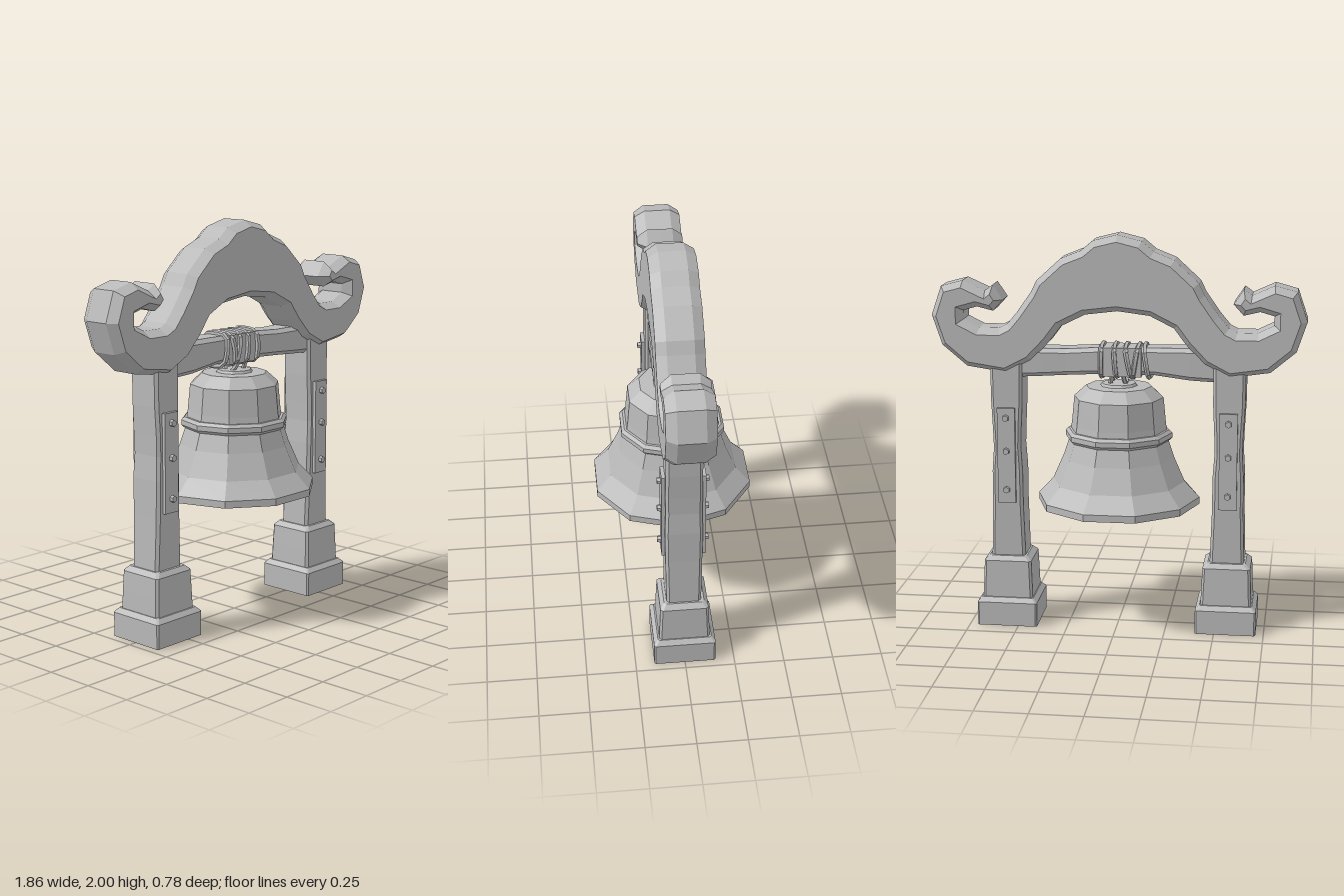
import * as THREE from 'three';

const stone = new THREE.MeshStandardMaterial({ color: 0xbababa, flatShading: true });
stone.name = 'grey';

function add(parent, name, geometry, x = 0, y = 0, z = 0) {
  const mesh = new THREE.Mesh(geometry, stone);
  mesh.name = name;
  mesh.position.set(x, y, z);
  parent.add(mesh);
  return mesh;
}

// Stacked chamfered rectangles along y; each section is [y, halfX, halfZ, shiftX]
function loft(sections, chamfer) {
  const pos = [], index = [], n = 8;
  for (const [y, hx, hz, dx = 0] of sections) {
    const cx = hx - chamfer, cz = hz - chamfer;
    const ring = [[hx, -cz], [hx, cz], [cx, hz], [-cx, hz], [-hx, cz], [-hx, -cz], [-cx, -hz], [cx, -hz]];
    for (const [x, z] of ring) pos.push(x + dx, y, z);
  }
  const top = (sections.length - 1) * n;
  for (let s = 0; s < top; s += n) {
    for (let i = 0; i < n; i++) {
      const a = s + i, b = s + (i + 1) % n;
      index.push(a, a + n, b, b, a + n, b + n);
    }
  }
  for (let i = 1; i < n - 1; i++) index.push(0, i, i + 1, top, top + i + 1, top + i);
  const geometry = new THREE.BufferGeometry();
  geometry.setAttribute('position', new THREE.Float32BufferAttribute(pos, 3));
  geometry.setIndex(index);
  const flat = geometry.toNonIndexed();
  flat.computeVertexNormals();
  return flat;
}

// Lathe with a corner on the x axis
function turned(profile, sides) {
  return new THREE.LatheGeometry(profile.map(([r, y]) => new THREE.Vector2(r, y)), sides, Math.PI / 10);
}

// Arched top with a scroll at each end
function makeArch(group) {
  const half = [
    [0.12, 1.97], [0.18, 1.92], [0.28, 1.88], [0.40, 1.77], [0.43, 1.71], [0.50, 1.61], [0.55, 1.55],
    [0.59, 1.53], [0.69, 1.53], [0.77, 1.57], [0.77, 1.615], [0.70, 1.635], [0.62, 1.615], [0.57, 1.67],
    [0.62, 1.745], [0.66, 1.715], [0.77, 1.765], [0.88, 1.735], [0.93, 1.59], [0.88, 1.44], [0.755, 1.335],
    [0.555, 1.305], [0.43, 1.37], [0.34, 1.465], [0.28, 1.545], [0.16, 1.605]];
  const outline = [[0, 2], ...half, [0, 1.625], ...half.map(([x, y]) => [-x, y]).reverse()];
  const shape = new THREE.Shape(outline.map(([x, y]) => new THREE.Vector2(x, y)));
  const geometry = new THREE.ExtrudeGeometry(shape, {
    depth: 0.13, bevelThickness: 0.05, bevelSize: 0.03, bevelOffset: -0.03, bevelSegments: 1 });
  add(group, 'scrolledArch', geometry, 0, 0, -0.067);
}

// Post, stepped foot and bolted plates
function makeSupport(side) {
  const support = new THREE.Group();
  support.name = side > 0 ? 'leftSupport' : 'rightSupport';
  support.position.x = side * 0.557;
  add(support, 'lowerFoot', loft([
    [0, 0.153, 0.155], [0.122, 0.153, 0.155], [0.145, 0.132, 0.135]], 0.008));
  add(support, 'upperFoot', loft([
    [0.13, 0.128, 0.128], [0.24, 0.124, 0.124], [0.335, 0.12, 0.12], [0.358, 0.095, 0.1]], 0.012));
  add(support, 'post', loft([
    [0.34, 0.087, 0.086], [0.62, 0.078, 0.09], [0.80, 0.077, 0.092], [0.92, 0.069, 0.088],
    [1.02, 0.072, 0.09], [1.16, 0.079, 0.088], [1.36, 0.081, 0.088]], 0.014));
  for (const face of [1, -1]) {
    add(support, 'plate', new THREE.BoxGeometry(0.09, 0.49, 0.03), 0, 0.885, face * 0.092);
    for (const y of [0.71, 0.91, 1.08]) {
      const bolt = add(support, 'bolt', new THREE.CylinderGeometry(0.016, 0.018, 0.02, 6), 0, y, face * 0.115);
      bolt.rotation.x = face * Math.PI / 2;
    }
  }
  return support;
}

// Crossbeam with rope wraps
function makeBeam(group) {
  const beam = add(group, 'crossbeam', loft([
    [-0.56, 0.085, 0.075, 0.015], [-0.36, 0.08, 0.075, 0.01], [-0.18, 0.068, 0.07, 0],
    [0.10, 0.067, 0.068, 0.003], [0.26, 0.066, 0.07, 0.012], [0.38, 0.07, 0.075, 0.015],
    [0.56, 0.08, 0.075, 0.015]], 0.02), 0, 1.375);
  beam.rotation.z = -Math.PI / 2;
  add(group, 'ropeSleeve', new THREE.BoxGeometry(0.2, 0.145, 0.15), -0.02, 1.37);
  const wraps = [[-0.145, -0.02], [-0.09, 0.02], [-0.055, -0.025], [0.01, -0.01], [0.08, 0]];
  for (const [x, lean] of wraps) {
    const corners = [[1, 0.6], [0.8, 0.9], [-0.8, 0.9], [-1, 0.6], [-1, -0.6], [-0.8, -0.9], [0.8, -0.9], [1, -0.6]];
    const path = new THREE.CatmullRomCurve3(
      corners.map(([y, z]) => new THREE.Vector3(x - lean * y * 0.6, 1.37 + y * 0.075, z * 0.088)), true);
    add(group, 'ropeWrap', new THREE.TubeGeometry(path, 16, 0.013, 5, true));
  }
  // Ropes holding the bell
  for (const side of [1, -1]) {
    const path = new THREE.CatmullRomCurve3([
      new THREE.Vector3(side * 0.025, 1.33, 0.06), new THREE.Vector3(side * 0.03, 1.285, 0.045),
      new THREE.Vector3(side * 0.045, 1.235, 0), new THREE.Vector3(side * 0.03, 1.285, -0.045),
      new THREE.Vector3(side * 0.025, 1.33, -0.06)]);
    add(group, 'hangingRope', new THREE.TubeGeometry(path, 8, 0.012, 5));
  }
}

// Hollow ten-sided bell with band and clapper
function makeBell() {
  const bell = new THREE.Group();
  bell.name = 'bell';
  add(bell, 'bellBody', turned([
    [0, 1.18], [0.16, 1.15], [0.2, 0.98], [0.24, 0.86], [0.29, 0.74], [0.37, 0.65], [0.375, 0.64],
    [0.41, 0.64], [0.41, 0.675], [0.335, 0.755], [0.28, 0.88], [0.25, 0.97], [0.238, 1.05],
    [0.225, 1.185], [0.165, 1.24], [0, 1.245]], 10));
  add(bell, 'bellBand', turned([
    [0.23, 0.965], [0.255, 0.965], [0.27, 0.98], [0.27, 1.005], [0.255, 1.02], [0.23, 1.02]], 10));
  add(bell, 'bellCap', turned([[0.1, 1.23], [0.085, 1.255], [0, 1.262]], 10));
  add(bell, 'clapper', turned([
    [0, 0.565], [0.03, 0.572], [0.052, 0.61], [0.057, 0.65], [0.042, 0.71], [0.022, 0.79],
    [0.016, 0.9], [0.016, 1.19]], 10));
  return bell;
}

export function createModel() {
  const model = new THREE.Group();
  model.name = 'bellGate';
  makeArch(model);
  makeBeam(model);
  model.add(makeSupport(1), makeSupport(-1), makeBell());
  return model;
}
